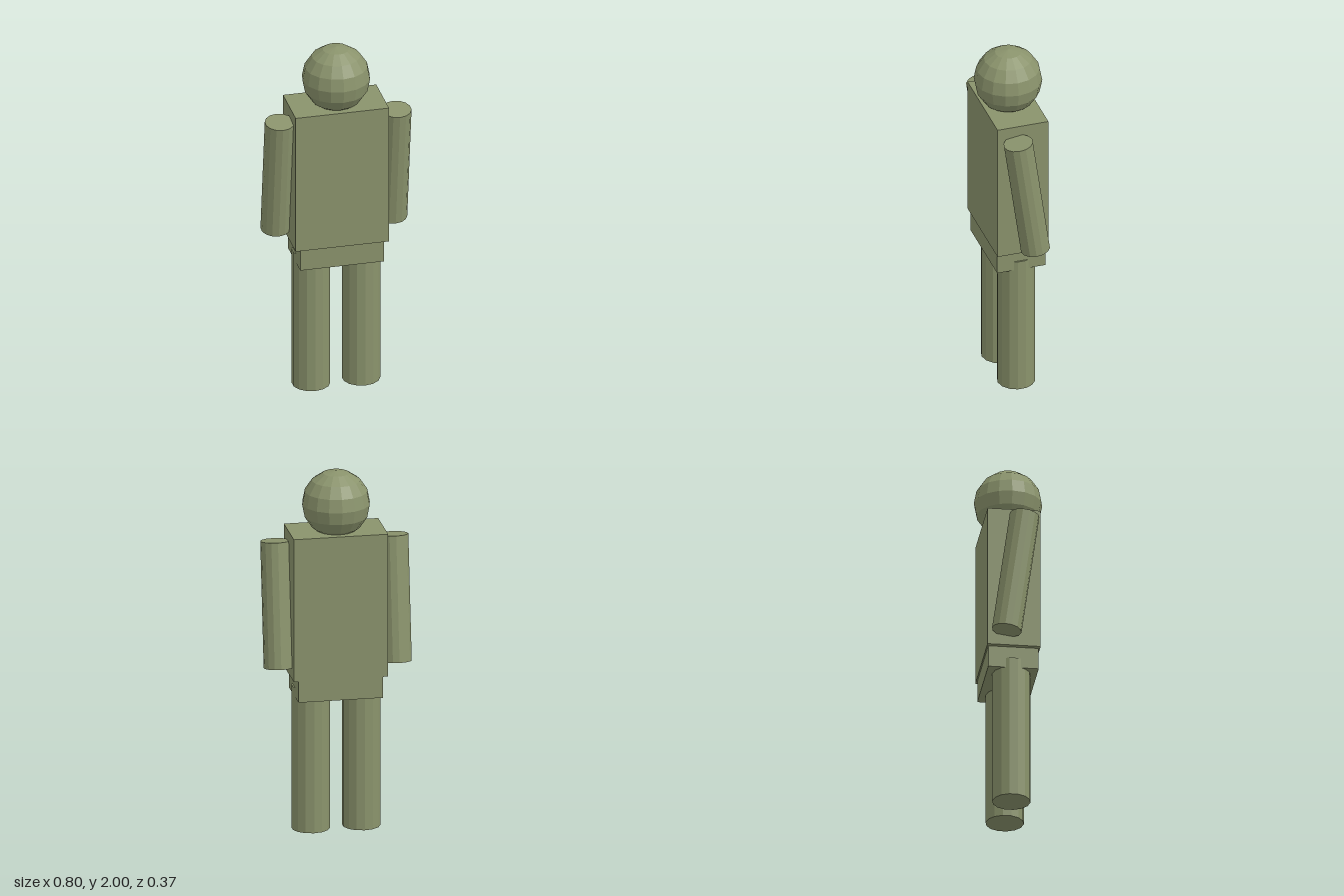
import * as THREE from 'three';

export function createModel() {
  const model = new THREE.Group();
  model.name = 'blockFigure';
  const material = new THREE.MeshStandardMaterial({ color: 0x8a936c, flatShading: true });

  function add(name, geometry, x, y, z = 0) {
    const mesh = new THREE.Mesh(geometry, material);
    mesh.name = name;
    mesh.position.set(x, y, z);
    model.add(mesh);
    return mesh;
  }

  // Head, sunk slightly into the torso
  add('head', new THREE.SphereGeometry(0.184, 16, 8), 0, 1.816);

  // Torso and narrower hips
  add('torso', new THREE.BoxGeometry(0.514, 0.8, 0.286), 0, 1.27);
  add('hips', new THREE.BoxGeometry(0.46, 0.16, 0.272), 0, 0.83);

  // Limbs, mirrored left and right
  for (const [side, s] of [['left', 1], ['right', -1]]) {
    const arm = add(side + 'Arm', new THREE.CylinderGeometry(0.08, 0.08, 0.69, 14), s * 0.322, 1.267);
    arm.rotation.x = THREE.MathUtils.degToRad(8); // shoulder forward, hand back
    add(side + 'Leg', new THREE.CylinderGeometry(0.103, 0.103, 0.804, 14), s * 0.138, 0.402);
  }

  return model;
}
